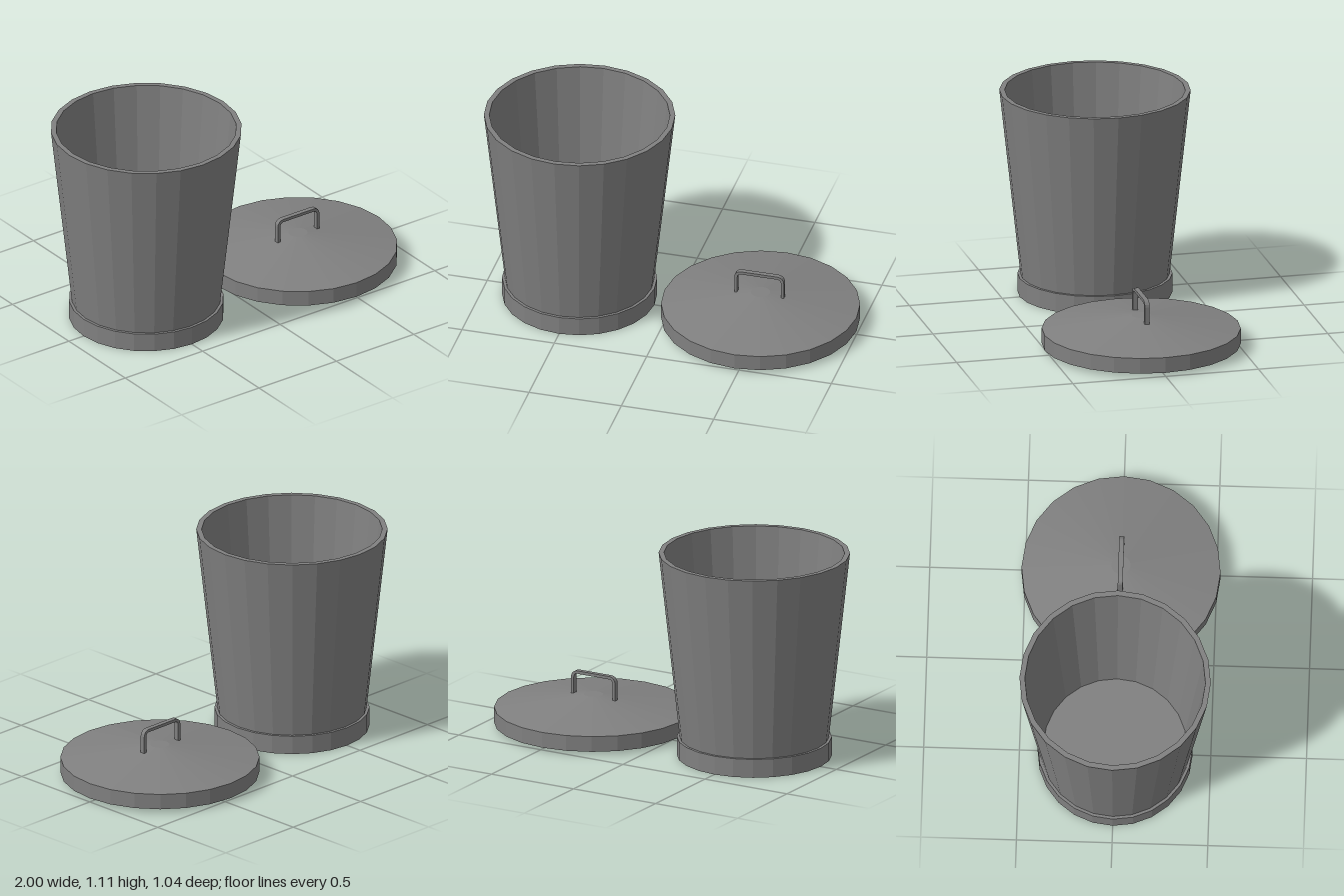
import * as THREE from 'three';

const SIDES = 24;

// Faceted solid of revolution; the profile runs from the underside, outwards, up and back in.
function turned(name, profile, material) {
  const points = profile.map(([r, y]) => new THREE.Vector2(r, y));
  const geometry = new THREE.LatheGeometry(points, SIDES).toNonIndexed();
  geometry.computeVertexNormals();
  const mesh = new THREE.Mesh(geometry, material);
  mesh.name = name;
  return mesh;
}

// Flat arch with rounded upper corners, from side to side, used for both edges of the handle.
function archPoints(halfWidth, bottom, top, radius) {
  const points = [[halfWidth, bottom]];
  for (const [cx, start] of [[halfWidth - radius, 0], [radius - halfWidth, Math.PI / 2]]) {
    for (let i = 0; i <= 4; i++) {
      const a = start + (i / 4) * Math.PI / 2;
      points.push([cx + radius * Math.cos(a), top - radius + radius * Math.sin(a)]);
    }
  }
  points.push([-halfWidth, bottom]);
  return points.map(([x, y]) => new THREE.Vector2(x, y));
}

export function createModel() {
  const model = new THREE.Group();
  model.name = 'binWithLid';
  const metal = new THREE.MeshStandardMaterial({ color: 0x808080 });
  metal.name = 'grey metal';

  // Open bin: base ring and tapered hollow body
  const bin = new THREE.Group();
  bin.name = 'bin';
  bin.position.x = -0.5;
  bin.add(
    turned('baseRing', [[0, 0], [0.405, 0], [0.405, 0.1], [0.37, 0.1]], metal),
    turned('binBody', [[0.39, 0.1], [0.5, 1.105], [0.472, 1.105], [0.375, 0.1], [0, 0.1]], metal)
  );

  // Lid lying beside the bin, recessed underneath
  const lid = new THREE.Group();
  lid.name = 'lid';
  lid.position.x = 0.48;
  lid.add(turned('lidCover', [
    [0, 0.07], [0.488, 0.07], [0.488, 0.02], [0.52, 0.02],
    [0.52, 0.103], [0.05, 0.175], [0, 0.175]
  ], metal));

  // Lid handle
  const outer = archPoints(0.134, 0.155, 0.29, 0.035);
  const inner = archPoints(0.118, 0.155, 0.274, 0.019).reverse();
  const handleGeometry = new THREE.ExtrudeGeometry(
    new THREE.Shape([...outer, ...inner]), { depth: 0.026, bevelEnabled: false });
  handleGeometry.translate(-0.005, 0, -0.013);
  const handle = new THREE.Mesh(handleGeometry, metal);
  handle.name = 'lidHandle';
  lid.add(handle);

  model.add(bin, lid);
  return model;
}
